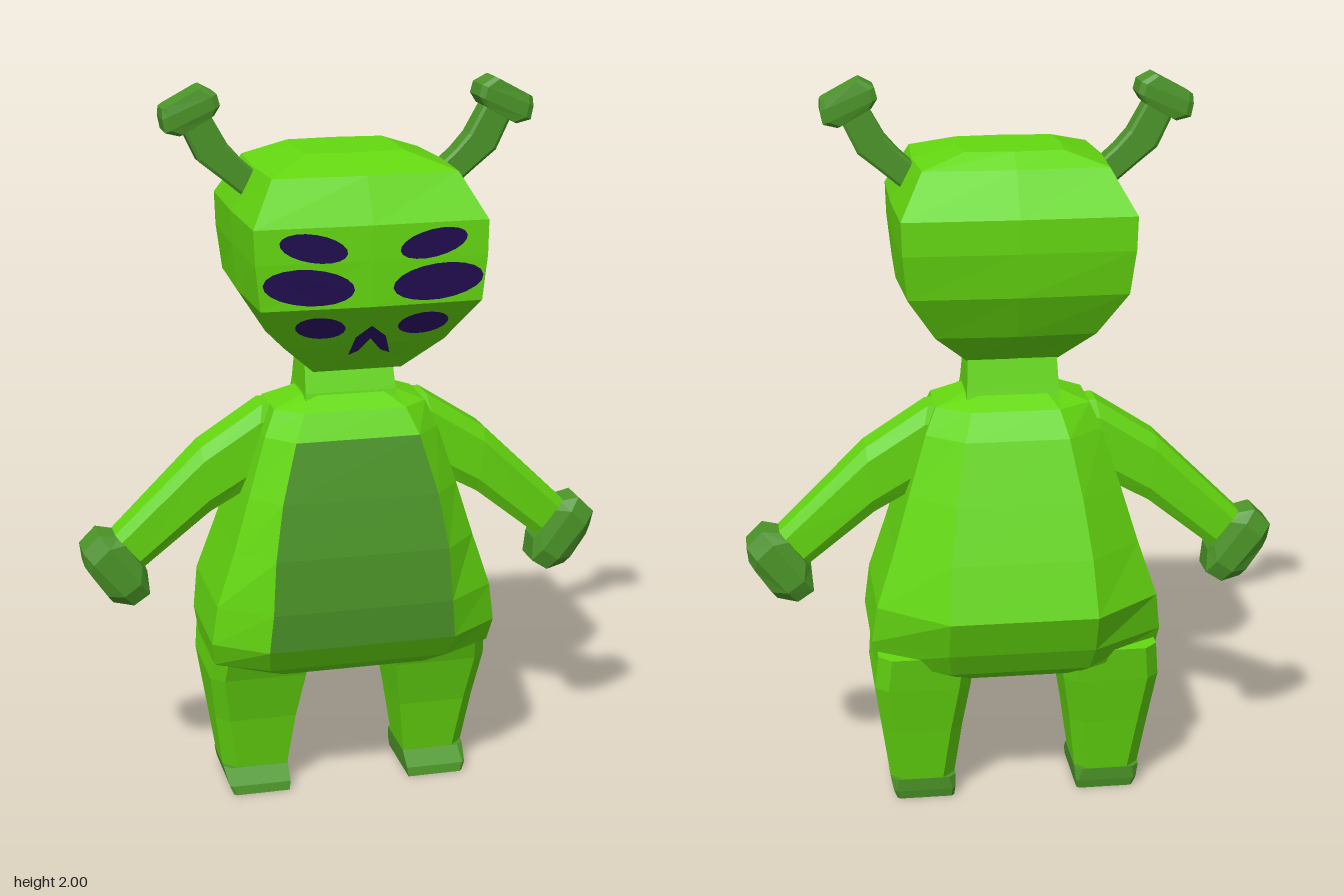
import * as THREE from 'three';

const material = (name, color) => {
  const m = new THREE.MeshStandardMaterial({ color });
  m.name = name;
  return m;
};

// Faceted skin over a list of rings (equal point counts), closed at both ends.
// panel(row, side) picks the quads that take the second material.
function loft(name, rings, mats, panel = () => false) {
  const sets = [[], []];
  const n = rings[0].length;
  const centre = (r) => r.reduce((s, p) => s.map((v, k) => v + p[k] / n), [0, 0, 0]);
  for (let i = 0; i < rings.length - 1; i++) {
    for (let j = 0; j < n; j++) {
      const k = (j + 1) % n;
      const [a, b, c, d] = [rings[i][j], rings[i][k], rings[i + 1][k], rings[i + 1][j]];
      sets[panel(i, j) ? 1 : 0].push([a, b, c], [a, c, d]);
    }
  }
  const first = rings[0], last = rings[rings.length - 1];
  const c0 = centre(first), c1 = centre(last);
  for (let j = 0; j < n; j++) {
    const k = (j + 1) % n;
    sets[0].push([c0, first[k], first[j]], [c1, last[j], last[k]]);
  }
  // Turn every face outward, whichever way the rings run
  let volume = 0;
  const v = (p) => new THREE.Vector3(...p);
  for (const [a, b, c] of sets.flat()) volume += v(a).dot(v(b).cross(v(c)));
  const flip = ([a, b, c]) => (volume < 0 ? [a, c, b] : [a, b, c]);
  const g = new THREE.BufferGeometry();
  g.setAttribute('position', new THREE.Float32BufferAttribute(sets.flat().map(flip).flat(2), 3));
  g.computeVertexNormals();
  if (Array.isArray(mats)) {
    g.addGroup(0, sets[0].length * 3, 0);
    g.addGroup(sets[0].length * 3, sets[1].length * 3, 1);
  }
  const mesh = new THREE.Mesh(g, mats);
  mesh.name = name;
  return mesh;
}

// Horizontal octagon: half width, front and back flat half widths, front and back depth
const torsoRing = ([y, w, a, b, zf, zb]) => [
  [-a, y, zf], [a, y, zf], [w, y, zf * 0.58], [w, y, zb * 0.55],
  [b, y, zb], [-b, y, zb], [-w, y, zb * 0.55], [-w, y, zf * 0.58],
];

// Horizontal rectangle with slightly bowed sides
const boxRing = ([y, w, zf, zb, bow = 0.01]) => {
  const zm = (zf + zb) / 2;
  return [
    [-w, y, zf], [0, y, zf + bow], [w, y, zf], [w + bow, y, zm],
    [w, y, zb], [0, y, zb - bow], [-w, y, zb], [-w - bow, y, zm],
  ];
};

// Limb section between an upper and a lower point, with chamfered corners
const limbRing = (s, zc) => ([ux, uy, lx, ly, d, cut = 0.2]) => {
  const at = (t, z) => [s * (ux + (lx - ux) * t), uy + (ly - uy) * t, zc + z];
  const e = d * (1 - cut * 1.5);
  return [at(0, e), at(cut, d), at(1 - cut, d), at(1, e),
    at(1, -e), at(1 - cut, -d), at(cut, -d), at(0, -e)];
};

// Leg section with chamfered corners
const legRing = (s) => ([y, x0, x1, zf, zb, c = 0.035]) => [
  [x0, zf], [x1 - c, zf], [x1, zf - c], [x1, zb + c],
  [x1 - c, zb], [x0 + c, zb], [x0, zb + c], [x0, zf - c],
].map(([x, z]) => [s * x, y, z]);

export function createModel() {
  const skin = material('bright green skin', 0x64d810);
  const dark = material('dark green', 0x4c9628);
  const ink = material('deep purple', 0x200c50);
  const model = new THREE.Group();
  model.name = 'alien';

  // Pear-shaped torso with the belly panel on its front flats
  model.add(loft('torso', [
    [0.38, 0.30, 0.20, 0.16, 0.13, -0.19],
    [0.42, 0.39, 0.25, 0.19, 0.19, -0.25],
    [0.49, 0.40, 0.26, 0.20, 0.235, -0.29],
    [0.60, 0.385, 0.25, 0.20, 0.245, -0.335],
    [0.75, 0.335, 0.24, 0.19, 0.235, -0.29],
    [0.90, 0.29, 0.215, 0.17, 0.21, -0.24],
    [1.06, 0.24, 0.17, 0.14, 0.175, -0.185],
    [1.13, 0.21, 0.14, 0.12, 0.14, -0.14],
    [1.165, 0.12, 0.09, 0.09, 0.09, -0.08],
  ].map(torsoRing), [skin, dark], (row, side) => side === 0 && row >= 2 && row <= 5));

  model.add(loft('neck', [
    [1.13, 0.13, 0.10, -0.095, 0],
    [1.17, 0.125, 0.09, -0.085, 0],
    [1.28, 0.12, 0.05, -0.06, 0],
  ].map(boxRing), skin));

  // Boxy head, tapering to the chin
  model.add(loft('head', [
    [1.25, 0.12, 0.16, -0.06, 0],
    [1.34, 0.215, 0.235, -0.145],
    [1.46, 0.292, 0.32, -0.205],
    [1.58, 0.305, 0.322, -0.225, 0.006],
    [1.67, 0.308, 0.318, -0.225, 0.006],
    [1.785, 0.245, 0.25, -0.145],
    [1.825, 0.13, 0.13, -0.10],
  ].map(boxRing), skin));

  // Face markings follow the face and lean back towards the chin
  const mark = (name, shape, place = (g) => g) => {
    const g = place(new THREE.ShapeGeometry(shape, 10));
    const p = g.attributes.position;
    for (let i = 0; i < p.count; i++) {
      p.setZ(i, 0.336 - Math.max(0, 1.46 - p.getY(i)) * 0.4);
    }
    g.computeVertexNormals();
    const mesh = new THREE.Mesh(g, ink);
    mesh.name = name;
    model.add(mesh);
  };
  const eyes = [
    ['upperEye', 0.157, 1.62, 0.09, 0.036, 0.2],
    ['middleEye', 0.17, 1.52, 0.12, 0.047, -0.1],
    ['lowerEye', 0.136, 1.408, 0.067, 0.03, 0.1],
  ];
  for (const [name, x, y, rx, ry, tilt] of eyes) {
    for (const s of [-1, 1]) {
      const turn = name === 'middleEye' ? 0.1 : tilt;
      const oval = new THREE.Shape().absellipse(0, 0, rx, ry, 0, Math.PI * 2, false, 0);
      mark(name, oval, (g) => g.rotateZ(s * turn).translate(s * x, y, 0));
    }
  }
  mark('mouth', new THREE.Shape([
    [-0.055, 1.325], [-0.03, 1.335], [0, 1.37], [0.03, 1.335], [0.055, 1.325],
    [0.04, 1.375], [0, 1.407], [-0.04, 1.375],
  ].map(([x, y]) => new THREE.Vector2(x, y))));

  for (const s of [1, -1]) {
    // Arm and mitten hand
    model.add(loft('arm', [
      [0.12, 1.13, 0.12, 0.95, 0.05],
      [0.23, 1.13, 0.28, 0.89, 0.062],
      [0.40, 1.02, 0.38, 0.835, 0.062],
      [0.64, 0.785, 0.56, 0.69, 0.05],
    ].map(limbRing(s, -0.02)), skin));
    model.add(loft('hand', [
      [0.63, 0.78, 0.555, 0.675, 0.052],
      [0.685, 0.79, 0.55, 0.61, 0.062],
      [0.73, 0.745, 0.595, 0.58, 0.062],
      [0.725, 0.70, 0.65, 0.59, 0.045],
    ].map(limbRing(s, -0.02)), dark));

    // Leg and wedge foot
    model.add(loft('leg', [
      [0.06, 0.172, 0.352, 0.03, -0.15],
      [0.22, 0.152, 0.375, 0.06, -0.18],
      [0.36, 0.13, 0.395, 0.10, -0.21],
      [0.46, 0.12, 0.385, 0.14, -0.23],
    ].map(legRing(s)), skin));
    model.add(loft('foot', [
      [0, 0.175, 0.335, 0.08, -0.145, 0.008],
      [0.025, 0.172, 0.345, 0.075, -0.15, 0.008],
      [0.062, 0.17, 0.353, 0.032, -0.152, 0.02],
    ].map(legRing(s)), dark));

    // Bent antenna with a blunt knob
    model.add(loft('antennaStalk', [
      [0.235, 1.76, 0.29, 1.715, 0.033, 0.1],
      [0.29, 1.81, 0.35, 1.765, 0.033, 0.1],
      [0.325, 1.85, 0.40, 1.805, 0.033, 0.1],
      [0.37, 1.93, 0.44, 1.89, 0.033, 0.1],
    ].map(limbRing(s, 0.043)), dark));
    model.add(loft('antennaKnob', [
      [0.36, 1.925, 0.45, 1.875, 0.045, 0.1],
      [0.345, 1.95, 0.488, 1.885, 0.05, 0.1],
      [0.353, 1.98, 0.495, 1.92, 0.05, 0.1],
      [0.39, 2.0, 0.493, 1.945, 0.045, 0.1],
    ].map(limbRing(s, 0.05)), dark));
  }
  return model;
}
